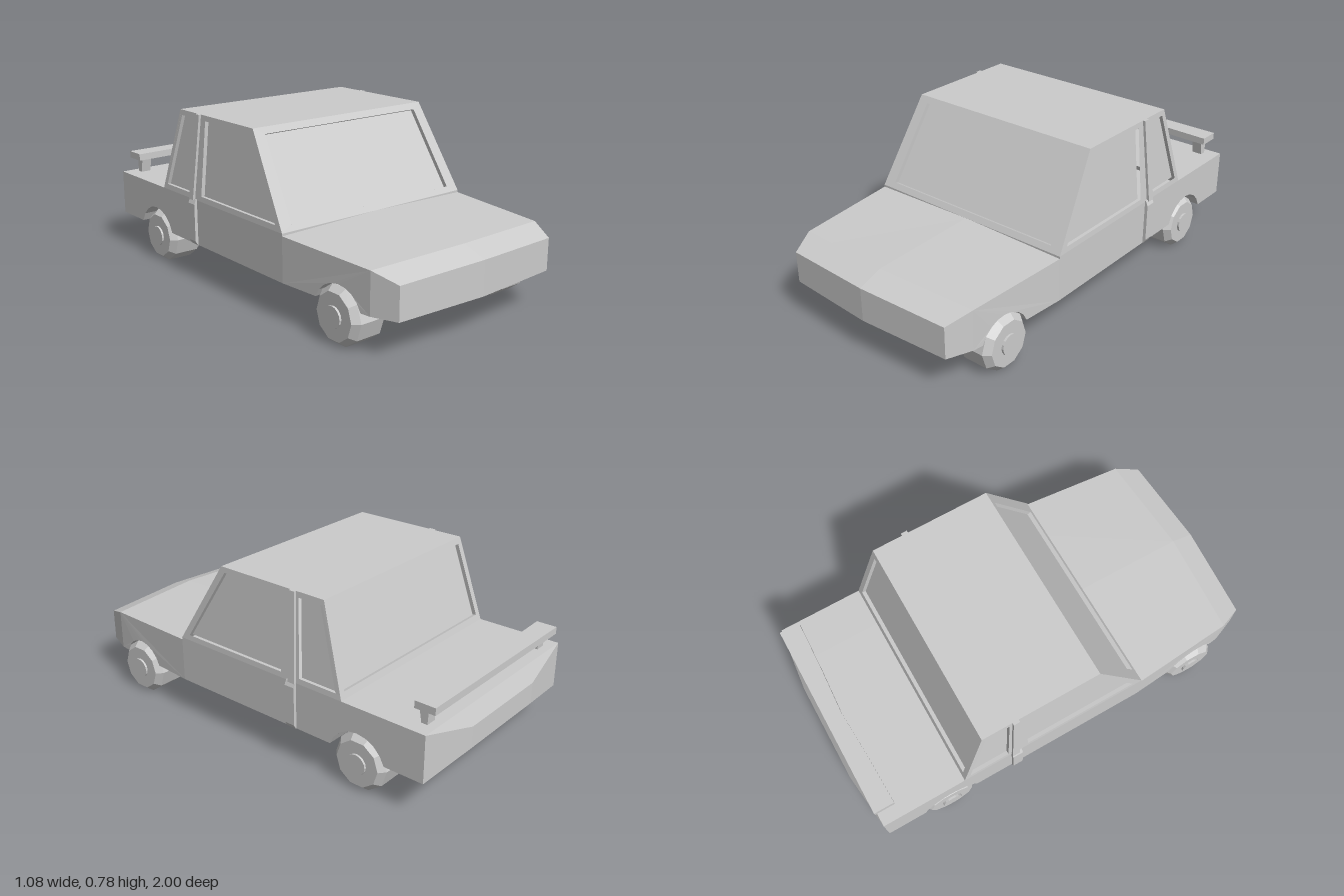
import * as THREE from 'three';

const material = new THREE.MeshStandardMaterial({ color: 0xcccccc, flatShading: true });
const BASE = 0.385, TOP = 0.78, FLOOR = 0.17;
const V = (x, y, z) => new THREE.Vector3(x, y, z);
const shapeOf = pts => new THREE.Shape(pts.map(p => new THREE.Vector2(p[0], p[1])));
const extrude = (shape, depth) => new THREE.ExtrudeGeometry(shape, { depth, bevelEnabled: false });

function add(parent, name, geometry) {
  const mesh = new THREE.Mesh(geometry, material);
  mesh.name = name;
  parent.add(mesh);
  return mesh;
}

// Half width of the body along its length
function halfWidth(z) {
  if (z <= 0.37) return 0.525;
  if (z <= 0.89) return THREE.MathUtils.mapLinear(z, 0.37, 0.89, 0.525, 0.485);
  return THREE.MathUtils.mapLinear(z, 0.89, 1, 0.485, 0.44);
}

// Side profile (z, y) extruded across x, then tapered, crowned and swept at the nose
function slab(parent, name, pts, x0, x1, front) {
  const geo = extrude(shapeOf(pts), x1 - x0);
  geo.applyMatrix4(new THREE.Matrix4().makeBasis(V(0, 0, 1), V(0, 1, 0), V(-1, 0, 0)));
  geo.translate(x1, 0, 0);
  const p = geo.attributes.position;
  for (let i = 0; i < p.count; i++) {
    let x = p.getX(i), y = p.getY(i), z = p.getZ(i);
    if (Math.abs(x) > 0.5) x = Math.sign(x) * halfWidth(z);
    if (front && y > 0.3) y -= 0.02 * Math.abs(x);
    if (z > 0.88) z -= 0.06 * Math.abs(x);
    p.setXYZ(i, x, y, z);
  }
  geo.computeVertexNormals();
  add(parent, name, geo);
}

// Points of a wheel arch, from rear to front
function arch(z, r) {
  const start = Math.asin((FLOOR - 0.124) / r), pts = [];
  for (let i = 0; i <= 8; i++) {
    const a = Math.PI - start - (i / 8) * (Math.PI - 2 * start);
    pts.push([z + r * Math.cos(a), 0.124 + r * Math.sin(a)]);
  }
  return pts;
}

function section(parent, name, z0, z1, topPts, archPts, front) {
  const flat = [[z0, FLOOR], [z1, FLOOR], ...topPts];
  const cut = [[z0, FLOOR], ...archPts, [z1, FLOOR], ...topPts];
  slab(parent, name + 'Centre', flat, 0, 0.33, front);
  slab(parent, name + 'Centre', flat, -0.33, 0, front);
  slab(parent, name + 'LeftSide', cut, 0.33, 0.525, front);
  slab(parent, name + 'RightSide', cut, -0.525, -0.33, front);
}

// Framed cabin panel with recessed panes, placed by a slanted basis
function panel(parent, name, basis, origin, outline, holes) {
  const place = new THREE.Matrix4().makeBasis(...basis).setPosition(origin);
  const shape = shapeOf(outline);
  shape.holes = holes.map(h => new THREE.Path(h.map(p => new THREE.Vector2(p[0], p[1]))));
  const frame = extrude(shape, 0.022);
  frame.translate(0, 0, -0.022).applyMatrix4(place);
  frame.computeVertexNormals();
  add(parent, name + 'Frame', frame);
  for (const h of holes) {
    const glass = new THREE.ShapeGeometry(shapeOf(h));
    glass.translate(0, 0, -0.018).applyMatrix4(place);
    glass.computeVertexNormals();
    add(parent, name + 'Glass', glass);
  }
}

const trapezoid = (w0, y0, w1, y1) => [[-w0, y0], [w0, y0], [w1, y1], [-w1, y1]];

function buildBody() {
  const body = new THREE.Group();
  body.name = 'body';
  section(body, 'rearBody', -0.965, 0.37, [[0.37, BASE], [-0.965, BASE]], arch(-0.64, 0.145), false);
  section(body, 'hood', 0.37, 0.89, [[0.89, 0.366], [0.37, BASE]], arch(0.69, 0.132), true);
  section(body, 'nose', 0.89, 1, [[1, 0.326], [0.89, 0.366]], [], true);

  // Tail tapering to a smaller rear face
  const tail = new THREE.BoxGeometry(1.05, BASE - FLOOR, 0.035).toNonIndexed();
  const p = tail.attributes.position;
  for (let i = 0; i < p.count; i++) {
    if (p.getZ(i) > 0) continue;
    p.setX(i, Math.sign(p.getX(i)) * 0.24);
    p.setY(i, p.getY(i) > 0 ? 0.0325 : -0.0675);
  }
  tail.computeVertexNormals();
  add(body, 'tail', tail).position.set(0, (BASE + FLOOR) / 2, -0.9825);
  return body;
}

function buildCabin() {
  const cabin = new THREE.Group();
  cabin.name = 'cabin';
  const H = TOP - BASE, lean = 0.035 / H;
  panel(cabin, 'windshield', [V(1, 0, 0), V(0, 1, -0.24 / H), V(0, 0.4, 1)], V(0, BASE, 0.37),
    trapezoid(0.525, 0, 0.49, H), [trapezoid(0.465, 0.025, 0.44, 0.367)]);
  panel(cabin, 'rearWindow', [V(-1, 0, 0), V(0, 1, 0.12 / H), V(0, 0.3, -1)], V(0, BASE, -0.56),
    trapezoid(0.525, 0, 0.49, H), [trapezoid(0.495, 0.03, 0.465, 0.367)]);

  for (const s of [1, -1]) {
    const side = s > 0 ? 'left' : 'right';
    const basis = [V(0, 0, -s), V(-s * lean, 1, 0), V(s, 0.1, 0)];
    const origin = V(s * 0.525, BASE, 0);
    const local = pts => pts.map(([z, y]) => [-s * z, y - BASE]);
    panel(cabin, side + 'Windows', basis, origin,
      local([[0.37, BASE], [0.13, TOP], [-0.44, TOP], [-0.56, BASE]]),
      [local([[0.32, 0.41], [0.11, 0.755], [-0.23, 0.755], [-0.235, 0.41]]),
        local([[-0.31, 0.755], [-0.435, 0.755], [-0.55, 0.41], [-0.335, 0.41]])]);

    // Raised door strip, slanted on the cabin and upright on the body
    const upper = extrude(shapeOf(local([[-0.265, TOP], [-0.295, TOP], [-0.32, BASE], [-0.285, BASE]])), 0.012);
    upper.applyMatrix4(new THREE.Matrix4().makeBasis(basis[0], basis[1], V(s, 0, 0)).setPosition(origin));
    upper.computeVertexNormals();
    add(cabin, side + 'UpperStrip', upper);
    const lower = extrude(shapeOf([[0.52, 0.17], [0.528, 0.17], [0.54, 0.19], [0.54, 0.367], [0.53, 0.39], [0.52, 0.39]]
      .map(([x, y]) => [s * x, y])), 0.05);
    add(cabin, side + 'LowerStrip', lower).position.z = -0.32;
  }
  add(cabin, 'roof', new THREE.BoxGeometry(0.98, 0.02, 0.57)).position.set(0, TOP - 0.01, -0.155);
  return cabin;
}

function buildWheel(s, z) {
  const wheel = new THREE.Group();
  wheel.name = (z > 0 ? 'front' : 'rear') + (s > 0 ? 'Left' : 'Right') + 'Wheel';
  const lathe = (pts, sides) => new THREE.LatheGeometry(pts.map(p => new THREE.Vector2(p[0], p[1])), sides);
  add(wheel, 'tire', lathe([[0, -0.09], [0.105, -0.09], [0.13, -0.06], [0.13, 0.06], [0.105, 0.09], [0, 0.09]], 10));
  add(wheel, 'hub', new THREE.CylinderGeometry(0.047, 0.047, 0.2, 16));
  wheel.rotation.z = Math.PI / 2;
  wheel.position.set(s * 0.43, 0.1237, z);
  return wheel;
}

function buildSpoiler() {
  const spoiler = new THREE.Group();
  spoiler.name = 'spoiler';
  // Wing with a shallow bowed front edge
  const wing = extrude(shapeOf([[-0.475, 0.972], [-0.475, 0.875], [-0.24, 0.882], [0, 0.895], [0.24, 0.882], [0.475, 0.875], [0.475, 0.972]]
    .map(([x, d]) => [x, d])), 0.033);
  wing.rotateX(-Math.PI / 2);
  add(spoiler, 'wing', wing).position.y = 0.45;
  for (const s of [1, -1]) {
    const leg = extrude(shapeOf([[-0.885, 0.455], [-0.93, 0.455], [-0.925, 0.38], [-0.898, 0.38]]), 0.05);
    leg.rotateY(-Math.PI / 2);
    add(spoiler, 'spoilerLeg', leg).position.x = s * 0.43 + 0.025;
  }
  return spoiler;
}

export function createModel() {
  const car = new THREE.Group();
  car.name = 'car';
  car.add(buildBody(), buildCabin(), buildSpoiler());
  for (const s of [1, -1]) for (const z of [0.69, -0.64]) car.add(buildWheel(s, z));
  return car;
}
